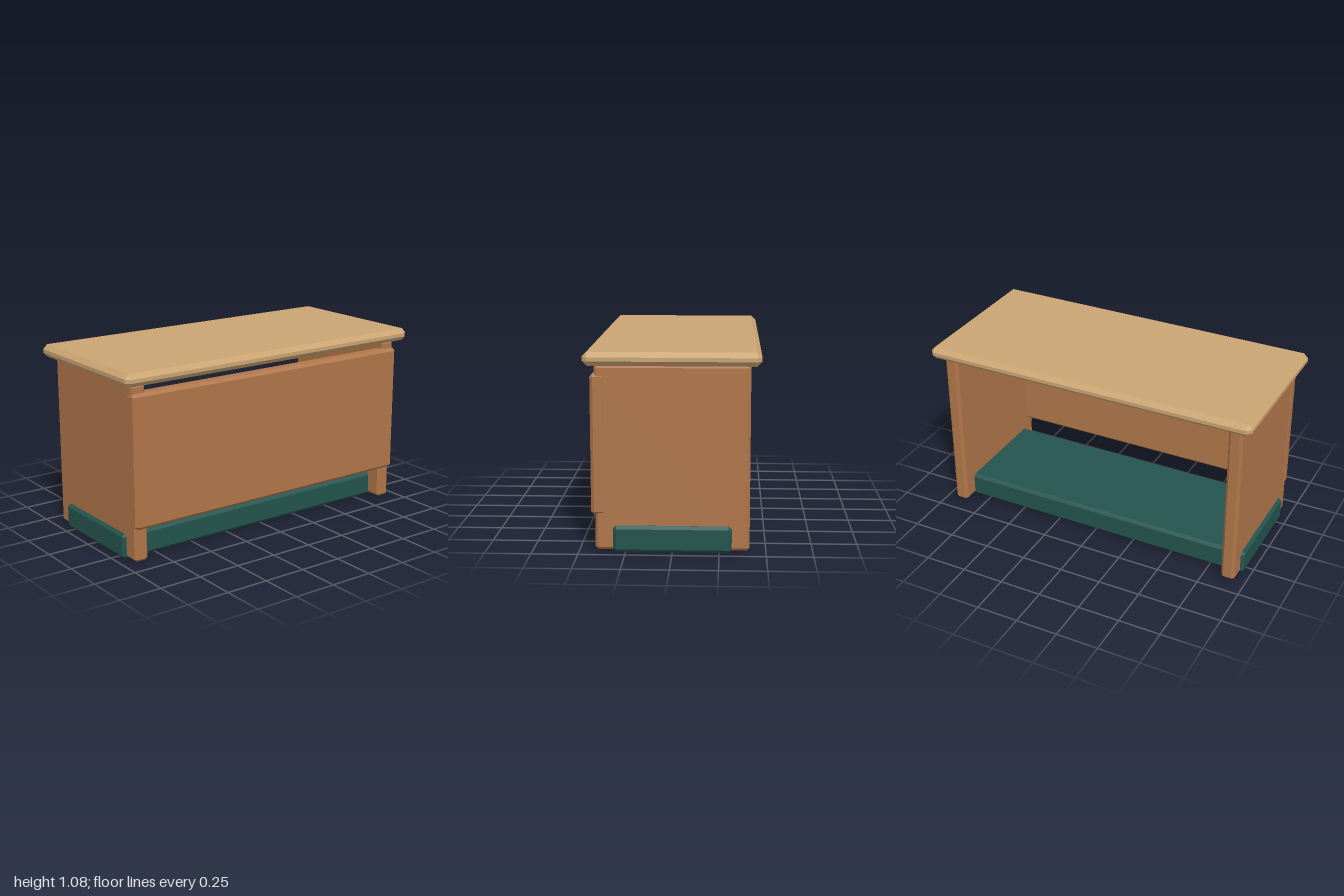
import * as THREE from 'three';
import { ConvexGeometry } from 'three/addons/geometries/ConvexGeometry.js';

const mat = (name, color) => {
  const m = new THREE.MeshStandardMaterial({ color });
  m.name = name;
  return m;
};

// Box from min to max corner with every edge chamfered by c
function chamferBox(name, material, [x0, y0, z0], [x1, y1, z1], c) {
  const half = [(x1 - x0) / 2, (y1 - y0) / 2, (z1 - z0) / 2];
  const points = [];
  for (const sx of [-1, 1]) for (const sy of [-1, 1]) for (const sz of [-1, 1])
    for (let full = 0; full < 3; full++) {
      const p = half.map((h, i) => (i === full ? h : h - c));
      points.push(new THREE.Vector3(sx * p[0], sy * p[1], sz * p[2]));
    }
  const mesh = new THREE.Mesh(new ConvexGeometry(points), material);
  mesh.name = name;
  mesh.position.set((x0 + x1) / 2, (y0 + y1) / 2, (z0 + z1) / 2);
  return mesh;
}

export function createModel() {
  const lightWood = mat('light wood', 0xcaa472);
  const brownWood = mat('brown wood', 0xb0764a);
  const green = mat('dark green', 0x24544e);

  const desk = new THREE.Group();
  desk.name = 'desk';
  desk.add(
    chamferBox('deskTop', lightWood, [-1, 1.007, -0.468], [1, 1.08, 0.468], 0.026),
    chamferBox('frontPanel', brownWood, [-0.942, 0.2, 0.35], [0.942, 0.96, 0.434], 0.017),
    chamferBox('basePlinth', green, [-0.957, 0, -0.317], [0.957, 0.145, 0.317], 0.017),
    // Side panels
    chamferBox('leftSide', brownWood, [0.855, 0.008, -0.412], [0.938, 1.008, 0.412], 0.016),
    chamferBox('rightSide', brownWood, [-0.938, 0.008, -0.412], [-0.855, 1.008, 0.412], 0.016),
  );
  return desk;
}
